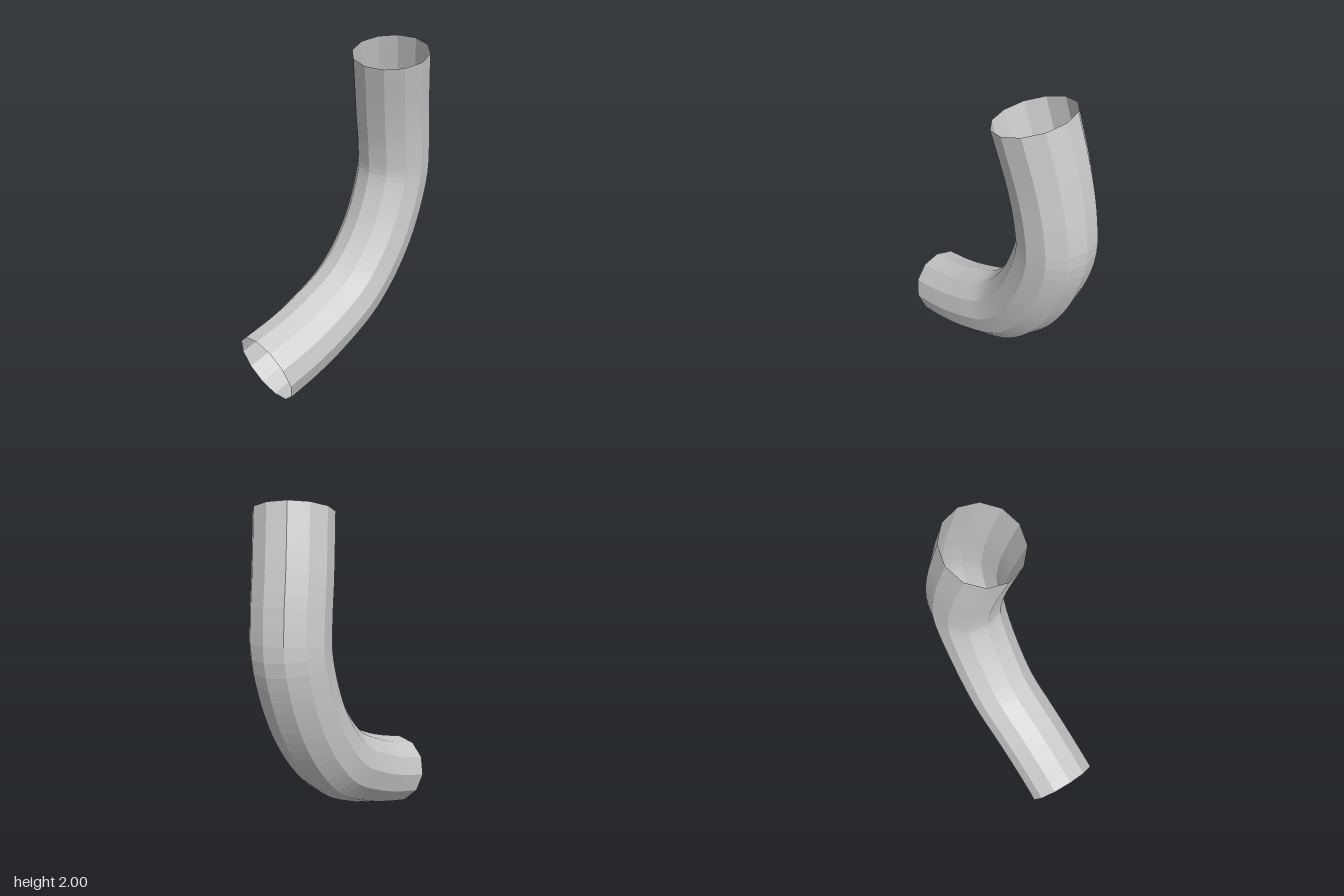
import * as THREE from 'three';

// Open, twelve-sided bent pipe swept along a smooth centre line
export function createModel() {
  const group = new THREE.Group();
  group.name = 'bentPipe';

  const grey = new THREE.MeshStandardMaterial({ color: 0xcccccc, flatShading: true, side: THREE.DoubleSide });
  grey.name = 'light grey';

  // Centre line, from the low end to the top end
  const path = new THREE.CatmullRomCurve3([
    [-0.62, 0.22, -0.08],
    [-0.42, 0.277, -0.056],
    [-0.2, 0.358, -0.038],
    [0.08, 0.505, -0.024],
    [0.313, 0.795, -0.002],
    [0.45, 1.17, 0.01],
    [0.442, 1.38, 0.018],
    [0.402, 1.6, 0.032],
    [0.32, 1.945, 0.075],
  ].map((p) => new THREE.Vector3(...p)));

  const pipe = new THREE.Mesh(new THREE.TubeGeometry(path, 40, 0.225, 12, false), grey);
  pipe.name = 'pipeWall';
  group.add(pipe);
  return group;
}
